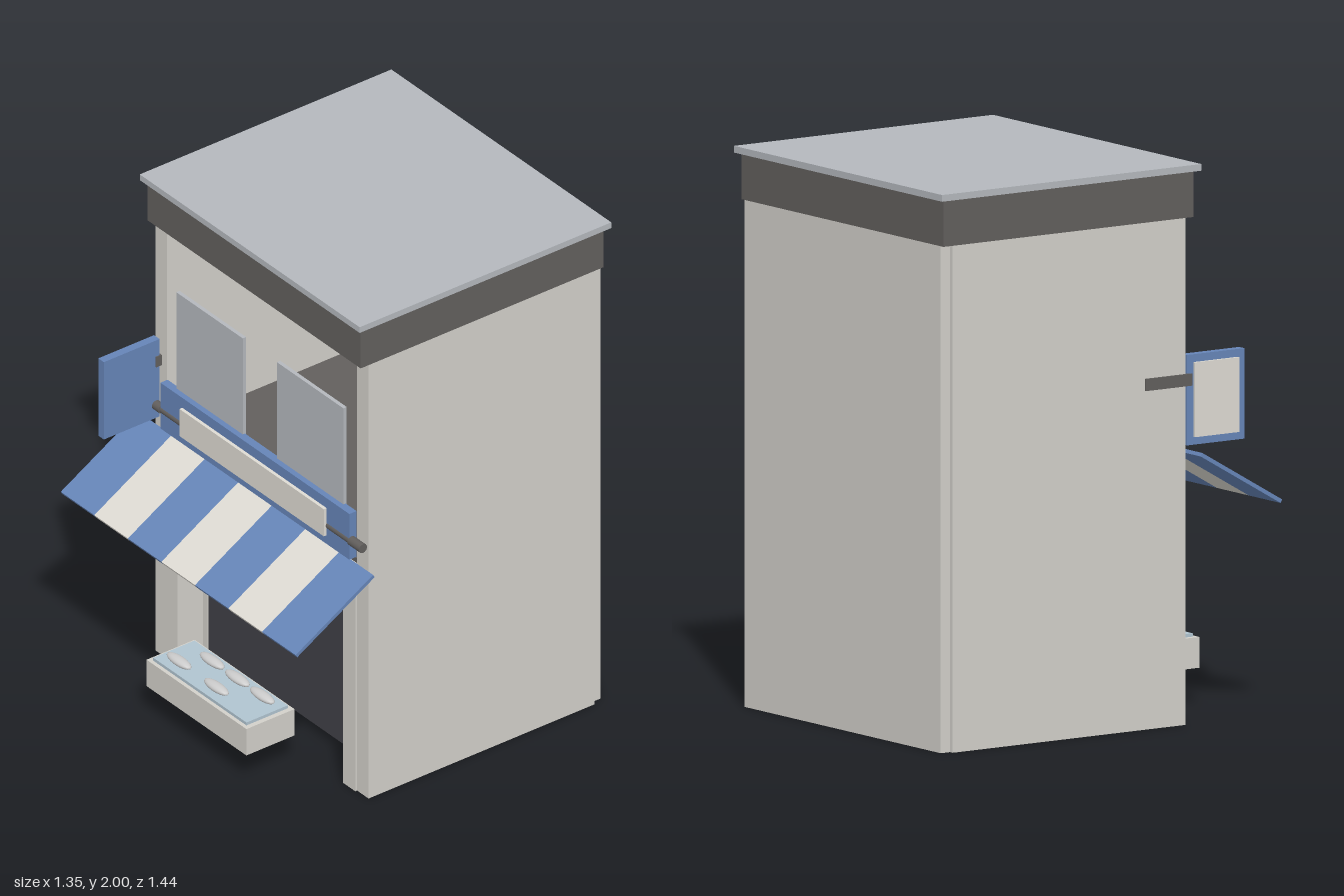
import * as THREE from 'three';

const mat = (color) => new THREE.MeshStandardMaterial({ color });

export function createModel() {
  const root = new THREE.Group();
  const wall = mat(0xd2d0ca), cream = mat(0xdedbd3), blue = mat(0x6685b8), dark = mat(0x625f5d);
  const black = mat(0x404046), slate = mat(0xb4b8bd), ice = mat(0xb0c4d0), grey = mat(0xcccccc);

  const add = (name, geometry, material, parent = root) => {
    const mesh = new THREE.Mesh(geometry, material);
    mesh.name = name;
    parent.add(mesh);
    return mesh;
  };
  // Box given by its limits on each axis
  const block = (name, material, [x0, x1], [y0, y1], [z0, z1], parent = root) => {
    const mesh = add(name, new THREE.BoxGeometry(x1 - x0, y1 - y0, z1 - z0), material, parent);
    mesh.position.set((x0 + x1) / 2, (y0 + y1) / 2, (z0 + z1) / 2);
    return mesh;
  };
  // Box mirrored to both sides of x = 0
  const pair = (name, material, [x0, x1], y, z) => {
    block(name + 'Left', material, [x0, x1], y, z);
    block(name + 'Right', material, [-x1, -x0], y, z);
  };

  // Hollow building shell, open at the bottom and the front
  pair('sideWall', wall, [0.545, 0.612], [0, 1.81], [-0.66, 0.345]);
  block('backWall', wall, [-0.595, 0.595], [0, 1.81], [-0.7, -0.655]);
  block('upperFloor', dark, [-0.546, 0.546], [0.945, 0.97], [-0.656, 0.345]);
  block('roofBand', dark, [-0.612, 0.612], [1.81, 1.976], [-0.7, 0.38]);
  block('roofSlab', slate, [-0.632, 0.632], [1.976, 2], [-0.72, 0.4]);

  // Shop front: jambs, lintel and recessed dark panel
  pair('doorJamb', wall, [0.475, 0.546], [0, 0.95], [0.235, 0.353]);
  pair('panelFrame', wall, [0.45, 0.475], [0, 0.95], [0.21, 0.24]);
  block('lintel', wall, [-0.545, 0.545], [0.82, 0.95], [0.33, 0.37]);
  block('awningHousing', dark, [-0.5, 0.5], [0.84, 0.96], [0.37, 0.398]);
  block('recessedPanel', black, [-0.45, 0.45], [0.04, 0.95], [0.215, 0.235]);

  // Hanging curtain strips in the doorway
  for (const x of [-0.185, -0.005, 0.18]) {
    block('doorCurtain', blue, [x - 0.075, x + 0.075], [0.535, 0.735], [0.27, 0.28]);
  }

  // Upper windows
  pair('window', slate, [0.098, 0.48], [0.97, 1.567], [0.34, 0.355]);

  // Sign board with its face panel and the rod across it
  block('signBoard', blue, [-0.543, 0.543], [0.975, 1.166], [0.345, 0.377]);
  block('signFace', cream, [-0.417, 0.413], [1.012, 1.125], [0.37, 0.39]);
  const rod = (name, x0, x1, radius) => {
    const mesh = add(name, new THREE.CylinderGeometry(radius, radius, x1 - x0, 16), dark);
    mesh.rotation.z = Math.PI / 2;
    mesh.position.set((x0 + x1) / 2, 1.052, 0.368);
  };
  rod('awningRod', -0.56, 0.56, 0.014);
  rod('rodEndLeft', 0.543, 0.61, 0.018);
  rod('rodEndRight', -0.6, -0.543, 0.018);

  // Sloping striped awning
  const awning = new THREE.Group();
  awning.name = 'awning';
  const drop = 0.2, reach = 0.345, stripe = 1.35 / 7;
  const length = Math.hypot(drop, reach);
  for (let i = 0; i < 7; i++) {
    const x = -0.675 + i * stripe;
    block('awningStripe', i % 2 ? cream : blue, [x, x + stripe], [-0.007, 0.007], [0, length], awning);
  }
  awning.position.set(0, 0.971, 0.37);
  awning.rotation.x = Math.atan2(drop, reach);
  root.add(awning);

  // Projecting side sign and its bracket
  block('bladeSign', blue, [-0.612, -0.58], [0.997, 1.32], [0.352, 0.6]);
  block('bladeSignFace', cream, [-0.622, -0.612], [1.025, 1.292], [0.38, 0.572]);
  block('bladeSignBracket', dark, [-0.62, -0.576], [1.21, 1.253], [0.17, 0.37]);

  // Display tray with fish on ice
  block('displayTray', wall, [-0.287, 0.287], [0.13, 0.24], [0.423, 0.637]);
  block('iceBed', ice, [-0.268, 0.268], [0.24, 0.252], [0.438, 0.622]);
  const fishShape = new THREE.SphereGeometry(1, 16, 10).scale(0.066, 0.015, 0.023);
  const fish = [[-0.18, 0.575], [0.035, 0.575], [-0.11, 0.482], [0.035, 0.482], [0.178, 0.482]];
  for (const [x, z] of fish) add('fish', fishShape, grey).position.set(x, 0.265, z);

  return root;
}
